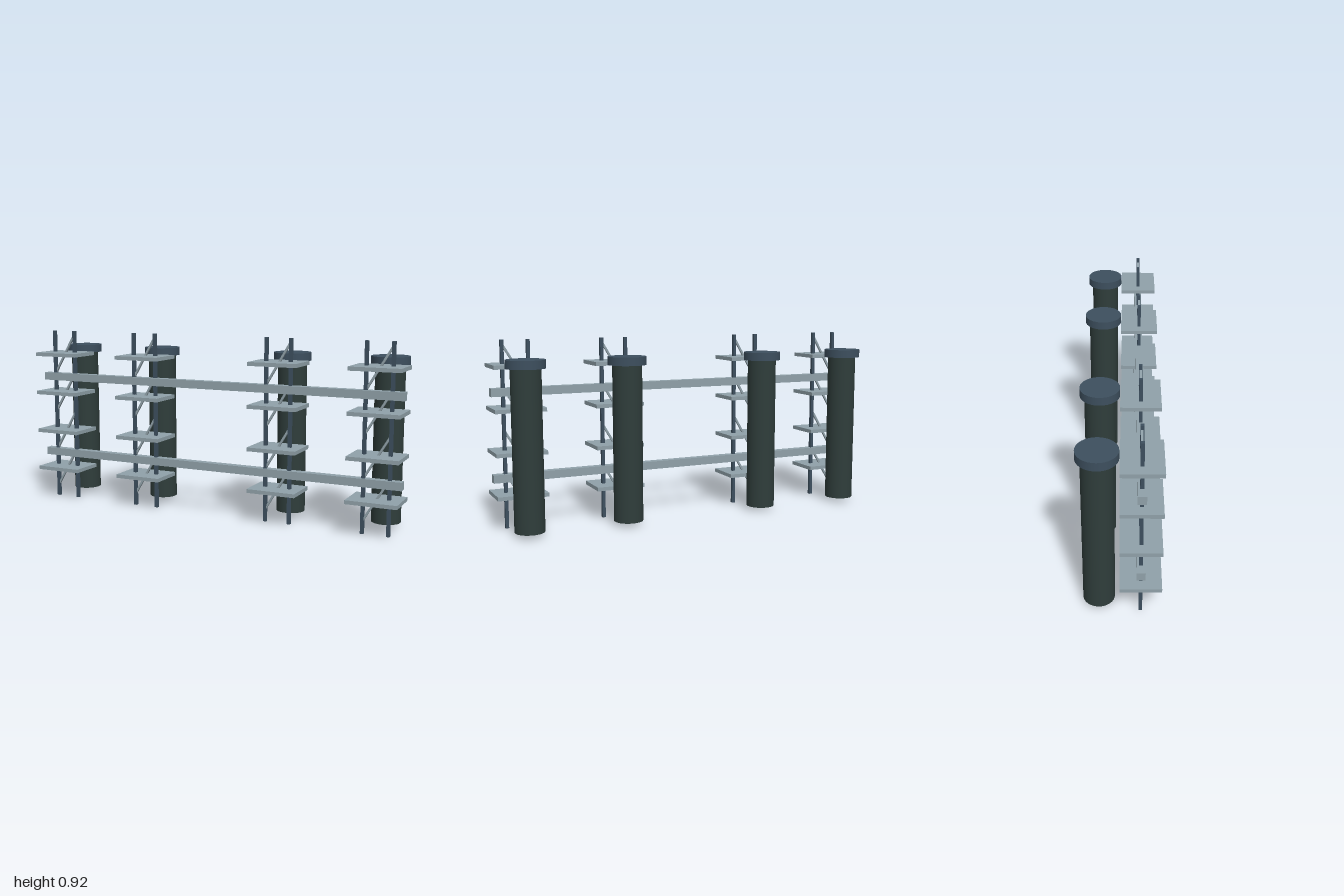
import * as THREE from 'three';

const steelLight = new THREE.MeshStandardMaterial({ name: 'pale steel', color: 0x90a1a9 });
const steelDark = new THREE.MeshStandardMaterial({ name: 'blue steel', color: 0x3d4f5e });
const tankGreen = new THREE.MeshStandardMaterial({ name: 'dark green', color: 0x2f3d3b });

function add(parent, name, geometry, material, x, y, z) {
  const mesh = new THREE.Mesh(geometry, material);
  mesh.name = name;
  mesh.position.set(x, y, z);
  parent.add(mesh);
  return mesh;
}

const RACK_Z = 0.094;
const TANK_Z = -0.094;
const LEVELS = [0.168, 0.376, 0.585, 0.793];

export function createModel() {
  const model = new THREE.Group();
  model.name = 'pipeRack';

  const postGeo = new THREE.BoxGeometry(0.0167, 0.917, 0.0167);
  const plateGeo = new THREE.BoxGeometry(0.25, 0.019, 0.1875);
  const braceGeo = new THREE.BoxGeometry(0.0105, 0.236, 0.0105);
  const tankGeo = new THREE.CylinderGeometry(0.0725, 0.0725, 0.79, 32);
  const capGeo = new THREE.CylinderGeometry(0.0935, 0.0935, 0.041, 32);

  for (const x of [-0.875, -0.375, 0.375, 0.875]) {
    const bay = new THREE.Group();
    bay.name = 'bay';
    bay.position.x = x;
    model.add(bay);

    // Standing cylinder with its wider lid
    add(bay, 'column', tankGeo, tankGreen, 0, 0.416, TANK_Z);
    add(bay, 'columnCap', capGeo, steelDark, 0, 0.8135, TANK_Z);

    // Two thin posts carrying the shelves
    for (const side of [-1, 1]) {
      add(bay, 'post', postGeo, steelDark, side * 0.0635, 0.4585, RACK_Z);
    }

    // Shelf plates, each crossed by a diagonal brace between the posts
    for (const y of LEVELS) {
      add(bay, 'shelf', plateGeo, steelLight, 0, y, RACK_Z);
      const brace = add(bay, 'brace', braceGeo, steelLight, 0, y, RACK_Z);
      brace.rotation.z = -0.54;
    }
  }

  // Long rails joining all bays
  const railGeo = new THREE.BoxGeometry(2, 0.04, 0.04);
  for (const y of [0.25, 0.668]) add(model, 'rail', railGeo, steelLight, 0, y, RACK_Z);

  return model;
}
